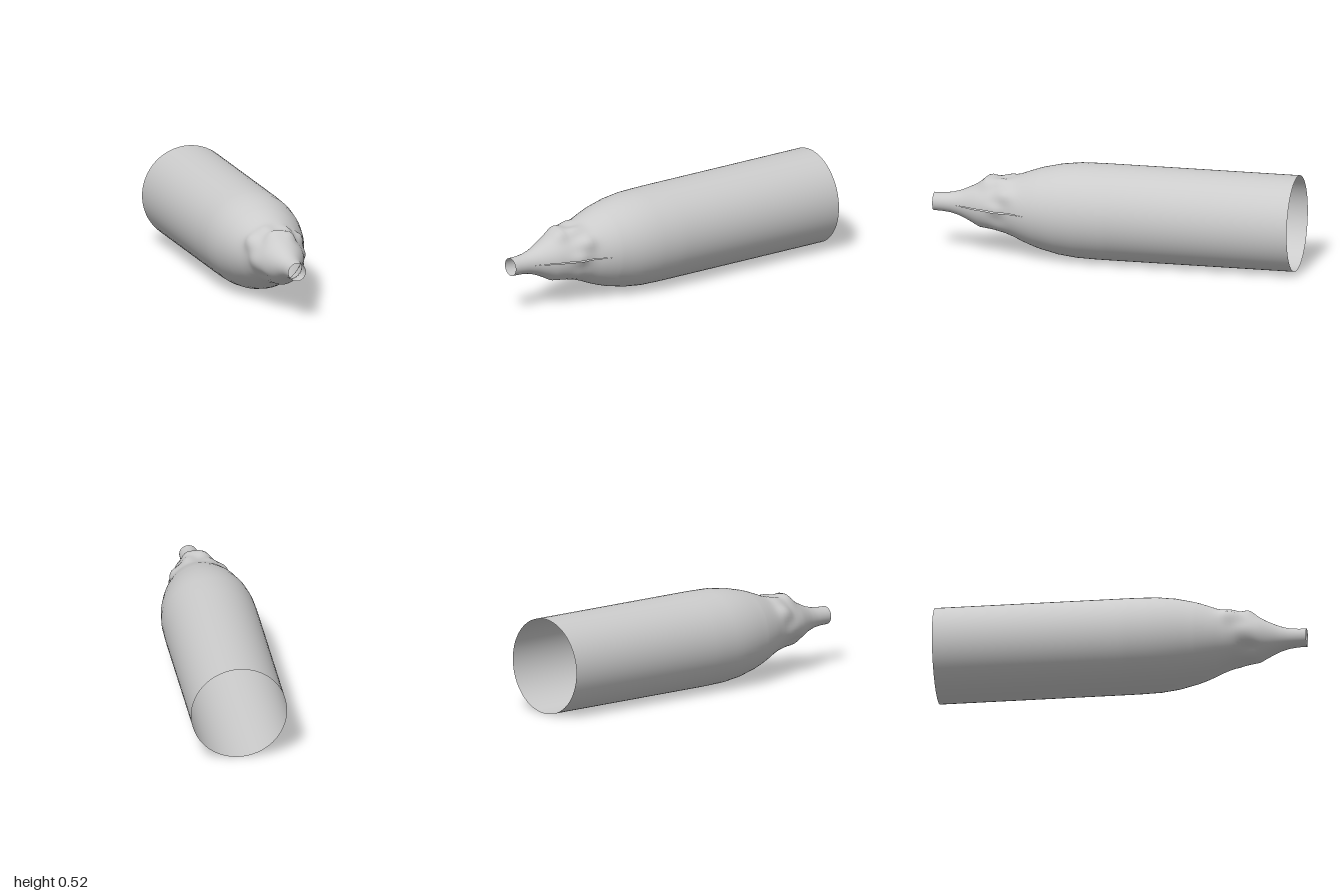
import * as THREE from 'three';
import { mergeVertices } from 'three/addons/utils/BufferGeometryUtils.js';

const CENTRE_Y = 0.262;
const SIDES = 64;

// radius along the length: [z, r]
const PROFILE = [
  [-1, 0.26], [0.08, 0.26], [0.2, 0.257], [0.3, 0.245], [0.4, 0.222], [0.45, 0.206],
  [0.5, 0.187], [0.55, 0.165], [0.6, 0.147], [0.65, 0.138], [0.7, 0.129], [0.75, 0.116],
  [0.8, 0.093], [0.85, 0.07], [0.9, 0.056], [0.95, 0.05], [1, 0.049],
];

// crumpled bulges around the shoulder: [angle in degrees, z, height, angular width, length]
const BULGES = [
  [34, 0.59, 0.03, 16, 0.05], [68, 0.62, 0.026, 15, 0.06], [100, 0.69, 0.034, 26, 0.045],
  [112, 0.6, 0.022, 18, 0.05], [146, 0.6, 0.033, 18, 0.055], [180, 0.66, 0.014, 20, 0.06],
  [4, 0.63, 0.018, 14, 0.05], [70, 0.71, 0.022, 16, 0.03], [222, 0.7, -0.012, 16, 0.05],
  [270, 0.66, -0.004, 30, 0.04], [270, 0.74, 0.006, 35, 0.03], [320, 0.62, 0.008, 20, 0.05],
];

function baseRadius(z) {
  let i = 1;
  while (i < PROFILE.length - 1 && z > PROFILE[i][0]) i++;
  const [z0, r0] = PROFILE[i - 1], [z1, r1] = PROFILE[i];
  return THREE.MathUtils.lerp(r0, r1, (z - z0) / (z1 - z0));
}

function radiusAt(angle, z) {
  let r = baseRadius(z);
  const deg = THREE.MathUtils.radToDeg(angle);
  for (const [a, bz, h, wa, wz] of BULGES) {
    const da = ((deg - a + 540) % 360) - 180;
    r += h * Math.exp(-((da / wa) ** 2) - ((z - bz) / wz) ** 2);
  }
  return r;
}

// half the height of the narrow slit on the left side
function slitHalf(z) {
  const t = (z - 0.46) / (0.87 - 0.46);
  return t > 0 && t < 1 ? 0.003 * Math.sin(Math.PI * t) : 0;
}

function shellGeometry() {
  // long plain barrel, then close rings over the shoulder and neck
  const rings = [-1, -0.5, 0];
  for (let z = 0.05; z < 0.41; z += 0.05) rings.push(z);
  for (let i = 1; i <= 30; i++) rings.push(0.4 + i * 0.02);

  const positions = [], indices = [];
  rings.forEach((z, k) => {
    for (let j = 0; j <= SIDES; j++) {
      const angle = (j / SIDES) * Math.PI * 2;
      const r = radiusAt(angle, z);
      let y = r * Math.sin(angle);
      if (j === 0) y = slitHalf(z);
      if (j === SIDES) y = -slitHalf(z);
      positions.push(r * Math.cos(angle), CENTRE_Y + y, z);
      if (k > 0 && j > 0) {
        const d = k * (SIDES + 1) + j, c = d - 1;
        const b = d - SIDES - 1, a = b - 1;
        indices.push(a, b, d, a, d, c);
      }
    }
  });
  const geometry = new THREE.BufferGeometry();
  geometry.setAttribute('position', new THREE.Float32BufferAttribute(positions, 3));
  geometry.setIndex(indices);
  // weld the seam wherever the slit is closed
  const welded = mergeVertices(geometry, 1e-4);
  welded.computeVertexNormals();
  return welded;
}

export function createModel() {
  const group = new THREE.Group();
  group.name = 'crimpedTube';
  const material = new THREE.MeshStandardMaterial({ color: 0xcccccc, side: THREE.DoubleSide });
  const shell = new THREE.Mesh(shellGeometry(), material);
  shell.name = 'tubeShell';
  group.add(shell);
  return group;
}
